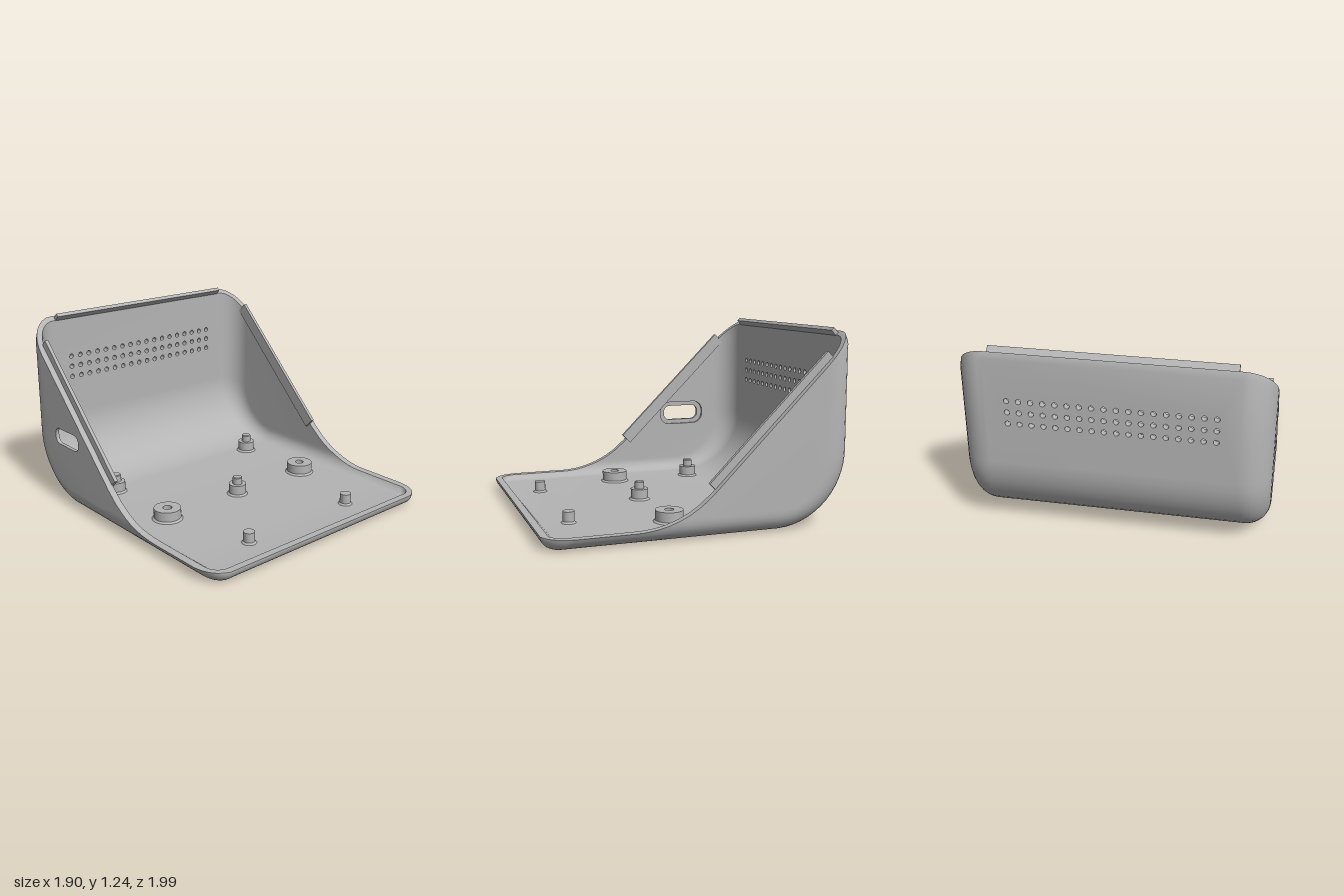
import * as THREE from 'three';
import { mergeGeometries, toCreasedNormals } from 'three/addons/utils/BufferGeometryUtils.js';

const HALF = Math.PI / 2, WALL = 0.045, J = 8;
const VENT_R = 0.017, BORE_R = 0.055;
const plastic = new THREE.MeshStandardMaterial({ color: 0xb4b4b4, side: THREE.DoubleSide });
plastic.name = 'grey plastic';

// Height of the rim: flat at the front, a curve, then a 45 degree slope
const rimHeight = (z) => z >= 0.45 ? 0.08
  : z > -0.045 ? 0.78 - Math.sqrt(0.49 - (z - 0.45) ** 2) : 0.24 - z;

function roundRect(Type, cx, cy, w, h, r) {
  const s = new Type();
  const corners = [[1, 1, 0], [-1, 1, 1], [-1, -1, 2], [1, -1, 3]];
  for (const [sx, sy, q] of corners)
    s.absarc(cx + sx * (w / 2 - r), cy + sy * (h / 2 - r), r, q * HALF, (q + 1) * HALF, false);
  s.closePath();
  return s;
}
const circle = (x, y, r) => new THREE.Path().absarc(x, y, r, 0, Math.PI * 2, false);
const rect = (x0, y0, x1, y1) => new THREE.Shape([[x0, y0], [x1, y0], [x1, y1], [x0, y1]]
  .map((p) => new THREE.Vector2(...p)));

const ventSpots = [];
for (const y of [0.77, 0.845, 0.92])
  for (let i = 0; i < 18; i++) ventSpots.push([-0.62 + i * 1.24 / 17, y]);

function gridGeometry(points, index) {
  const g = new THREE.BufferGeometry();
  g.setAttribute('position', new THREE.Float32BufferAttribute(points.flat(), 3));
  g.setIndex(index);
  return g;
}

// Rows of the side profile, from the front lip along the floor and up the back
function profileRows(o) {
  const rows = [], w = o ? 0.05 : 0.1, zc = 1 - o - w;
  for (let k = 0; k <= 10; k++) {
    const a = k / 10 * HALF;
    rows.push({ z: zc + w * Math.cos(a), y: 0.08 - (0.08 - o) * Math.sin(a), nz: 0, ny: 1, r: 0.13 - o });
  }
  for (const z of [0.6, 0.45, 0.4, 0.35, 0.3, 0.25, 0.45 - Math.sqrt(0.0675), 0.12, 0.05, -0.05, -0.2, -0.35])
    rows.push({ z, y: o, nz: 0, ny: 1, r: 0.13 - o, open: true });
  for (let k = 0; k <= 14; k++) {
    const a = k / 14 * HALF, R = 0.5 - o;
    rows.push({ z: -0.5 - R * Math.sin(a), y: 0.5 - R * Math.cos(a), nz: Math.sin(a), ny: Math.cos(a),
      r: 0.13 + 0.07 * k / 14 - o, open: k === 14 });
  }
  rows.push({ z: -1 + o, nz: 1, ny: 0, r: 0.2 - o, drop: 0.06 });
  rows.push({ z: -1 + o + (o ? 0 : 0.018), nz: 1, ny: 0, r: 0.2 - o, drop: 0 });
  return rows;
}

// One skin of the shell, inset by o, with its rim loop
function makeSkin(o) {
  const X = 0.95 - o, rows = profileRows(o), cols = 2 * (J + 1);
  const at = (row, t) => {
    const d = row.r * (1 - Math.cos(t)), x = X - row.r + row.r * Math.sin(t);
    let z = row.z + row.nz * d;
    const y = row.drop === undefined ? row.y + row.ny * d : 0.24 - z - row.drop;
    if (z > 0.6) { // rounded front corners in plan
      const c = 0.2 - o, u = Math.min(1, Math.max(0, (x - 0.75) / c));
      z = 0.6 + (z - 0.6) * (1 - c * (1 - Math.sqrt(1 - u * u)) / 0.4);
    }
    return [x, y, z];
  };
  const points = [], index = [], ends = [], low = [], high = [];
  rows.forEach((row, i) => {
    const room = row.ny === 1 ? rimHeight(row.z) - row.y : 1;
    const full = room >= row.r - 0.0005;
    const tMax = full ? HALF : Math.acos(Math.min(1, 1 - room / row.r));
    const side = [];
    for (let j = 0; j <= J; j++) side.push(at(row, tMax * j / J));
    for (let j = J; j >= 0; j--) points.push([-side[j][0], side[j][1], side[j][2]]);
    points.push(...side);
    let [x, y, z] = side[J];
    if (full) {
      low.push(new THREE.Vector2(z, y));
      let s0 = 0, s1 = 1;
      for (let k = 0; k < 40; k++) {
        const m = (s0 + s1) / 2;
        if (y + m < rimHeight(z + m)) s0 = m; else s1 = m;
      }
      y += s0; z += s0;
      high.push(new THREE.Vector2(z, y));
    }
    ends.push([x, y, z]);
    if (i === rows.length - 1) return;
    for (let c = 0; c < cols - 1; c++) {
      if (c === J && row.open) continue; // flat panels go here
      const a = i * cols + c, b = a + 1, e = a + cols, f = e + 1;
      index.push(a, b, e, b, f, e);
    }
  });
  const parts = [gridGeometry(points, index)];

  // Flat floor with two screw holes
  const floor = rect(-0.82, -0.5, 0.82, 0.6);
  for (const x of [-0.61, 0.61]) floor.holes.push(circle(x, 0.125, BORE_R));
  const floorG = new THREE.ShapeGeometry(floor, 8).rotateX(HALF).translate(0, o, 0);
  floorG.index.array.reverse();
  // Flat back with the vent holes
  const back = rect(-0.75, 0.5, 0.75, 1.18 - o);
  for (const [x, y] of ventSpots) back.holes.push(circle(x, y, VENT_R));
  parts.push(floorG, new THREE.ShapeGeometry(back, 6).translate(0, 0, -1 + o));
  // Flat side walls, the port opening only in the right one
  for (const s of [1, -1]) {
    const wall = new THREE.Shape([...low, ...high.slice(1, -1).reverse()]);
    if (s < 0) wall.holes.push(roundRect(THREE.Path, -0.52, 0.49, 0.36, 0.18, 0.08));
    const g = new THREE.ShapeGeometry(wall, 6).rotateY(-HALF).translate(s * X, 0, 0);
    if (s < 0) g.index.array.reverse();
    parts.push(g);
  }
  for (const g of parts) {
    if (!o) g.index.array.reverse();
    g.deleteAttribute('uv');
    g.deleteAttribute('normal');
  }
  const merged = mergeGeometries(parts.map((g) => {
    const n = g.toNonIndexed();
    n.deleteAttribute('normal');
    return n;
  }));
  merged.computeVertexNormals();
  const mirror = ([x, y, z]) => [-x, y, z];
  const last = points.slice(-cols);
  const rim = [...points.slice(0, cols), ...ends, ...last.reverse(), ...ends.map(mirror).reverse()];
  return { geometry: toCreasedNormals(merged, 0.6), rim };
}

export function createModel() {
  const model = new THREE.Group();
  model.name = 'sloped enclosure';
  const add = (name, g, x = 0, y = 0, z = 0) => {
    const m = new THREE.Mesh(g, plastic);
    m.name = name;
    m.position.set(x, y, z);
    model.add(m);
    return m;
  };

  // Shell: outer skin, inner skin and the rim between them
  const outer = makeSkin(0), inner = makeSkin(WALL);
  add('outerShell', outer.geometry);
  add('innerShell', inner.geometry);
  const n = outer.rim.length, rimIndex = [];
  for (let i = 0; i < n; i++) {
    const k = (i + 1) % n;
    rimIndex.push(i, k, n + i, k, n + k, n + i);
  }
  const rim = gridGeometry([...outer.rim, ...inner.rim], rimIndex).toNonIndexed();
  rim.computeVertexNormals();
  add('rim', rim);

  // Vent hole linings
  const lining = new THREE.CylinderGeometry(VENT_R, VENT_R, WALL, 12, 1, true).rotateX(HALF);
  add('ventLinings', mergeGeometries(ventSpots.map(([x, y]) =>
    lining.clone().translate(x, y, -1 + WALL / 2))));

  // Port in the right wall: slotted plate inside a recess
  const port = (name, w, h, r, depth, x) => {
    const s = roundRect(THREE.Shape, -0.52, 0.49, 0.36, 0.18, 0.08);
    s.holes.push(roundRect(THREE.Path, -0.52, 0.49, w, h, r));
    add(name, new THREE.ExtrudeGeometry(s, { depth, bevelEnabled: false, curveSegments: 6 }).rotateY(-HALF), x);
  };
  port('portPlate', 0.28, 0.11, 0.045, 0.025, -0.925);
  port('portRecess', 0.354, 0.174, 0.077, 0.02, -0.905);

  // Turned bosses, posts and pins on the floor
  const turned = (pts) => {
    const g = new THREE.LatheGeometry(pts.map((p) => new THREE.Vector2(...p)), 32).toNonIndexed();
    return toCreasedNormals(g, 0.5);
  };
  const boss = turned([[BORE_R, 0], [BORE_R, 0.06], [0.03, 0.06], [0.03, 0.12], [0.09, 0.12], [0.09, 0.057], [0.102, WALL]].reverse());
  const post = turned([[0.072, WALL], [0.06, 0.057], [0.06, 0.12], [0.033, 0.12], [0.033, 0.165], [0.028, 0.17], [0, 0.17]]);
  const pin = turned([[0.048, WALL], [0.037, 0.057], [0.037, 0.12], [0, 0.12]]);
  for (const s of [1, -1]) {
    add('screwBoss', boss, s * 0.61, 0, 0.125);
    add('rearPost', post, s * 0.61, 0, -0.46);
    add('frontPin', pin, s * 0.44, 0, 0.73);
    // Locating rail along the sloped side
    add('sideRail', new THREE.BoxGeometry(0.024, 0.085, 1.096), s * 0.898, 0.6925, -0.4425).rotation.x = Math.PI / 4;
  }
  add('centrePost', post, 0, 0, 0.125);
  add('topRail', new THREE.BoxGeometry(1.46, 0.055, 0.026), 0, 1.2155, -0.95).rotation.x = Math.PI / 4;
  return model;
}
